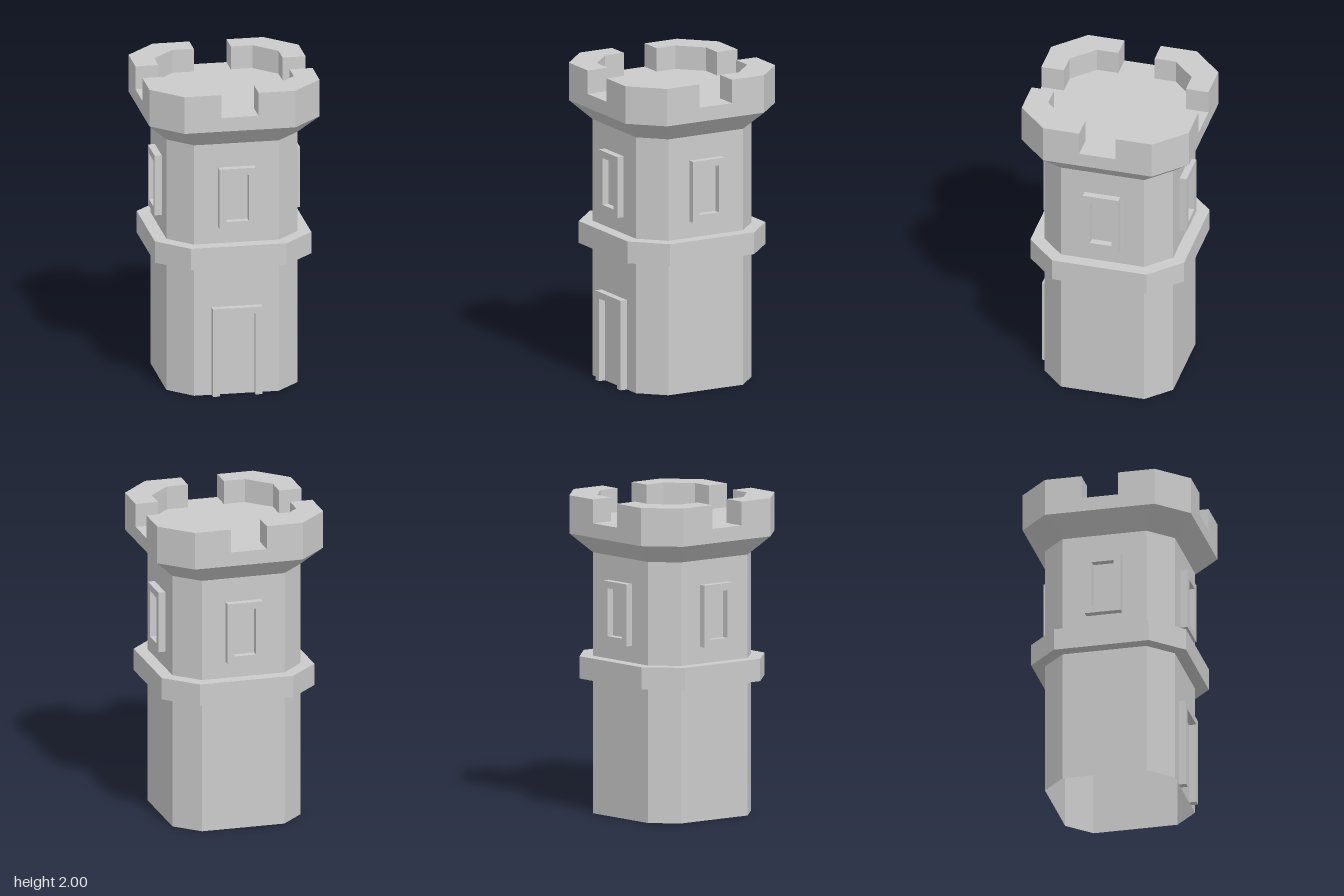
import * as THREE from 'three';

const material = new THREE.MeshStandardMaterial({ color: 0xcccccc, flatShading: true, side: THREE.DoubleSide });

// Chamfered square: half = half width, c = where the flat side ends
const octagon = (half, c) => [
  [half, -c], [half, c], [c, half], [-c, half],
  [-half, c], [-half, -c], [-c, -half], [c, -half],
].map(([x, y]) => new THREE.Vector2(x, y));

const rectangle = (w, y0, y1) => [[-w, y0], [w, y0], [w, y1], [-w, y1]].map(([x, y]) => new THREE.Vector2(x, y));

function extrude(name, points, depth, hole) {
  const shape = new THREE.Shape(points);
  if (hole) shape.holes.push(new THREE.Path(hole));
  const mesh = new THREE.Mesh(new THREE.ExtrudeGeometry(shape, { depth, bevelEnabled: false }), material);
  mesh.name = name;
  return mesh;
}

// Same as extrude, but standing upright from height y
function slab(name, points, y, height, hole) {
  const mesh = extrude(name, points, height, hole);
  mesh.geometry.rotateX(-Math.PI / 2);
  mesh.position.y = y;
  return mesh;
}

// Walls joining octagonal rings [y, half, c] from bottom to top
function loft(name, rings) {
  const positions = [];
  const corner = (r, i) => {
    const [y, half, c] = rings[r];
    const p = octagon(half, c)[i % 8];
    return [p.x, y, -p.y];
  };
  for (let r = 0; r < rings.length - 1; r++) {
    for (let i = 0; i < 8; i++) {
      const a = corner(r, i), b = corner(r, i + 1), c = corner(r + 1, i + 1), d = corner(r + 1, i);
      positions.push(...a, ...b, ...c, ...a, ...c, ...d);
    }
  }
  const geometry = new THREE.BufferGeometry();
  geometry.setAttribute('position', new THREE.Float32BufferAttribute(positions, 3));
  geometry.computeVertexNormals();
  const mesh = new THREE.Mesh(geometry, material);
  mesh.name = name;
  return mesh;
}

export function createModel() {
  const tower = new THREE.Group();
  tower.name = 'tower';
  const wall = 0.415, wallCorner = 0.268;
  const top = 0.538, topCorner = 0.35;
  const deckY = 1.85;

  // Hollow shaft, open below, flaring out under the parapet
  tower.add(loft('shaft', [[0, wall, wallCorner], [1.64, wall, wallCorner]]));
  tower.add(loft('flaredParapet', [[1.64, wall, wallCorner], [1.76, top, topCorner], [deckY, top, topCorner]]));

  // Roof deck
  const deck = new THREE.Mesh(new THREE.ShapeGeometry(new THREE.Shape(octagon(top, topCorner))), material);
  deck.name = 'roofDeck';
  deck.rotation.x = -Math.PI / 2;
  deck.position.y = deckY;
  tower.add(deck);

  // Band around the middle
  tower.add(slab('band', octagon(0.495, 0.303), 0.85, 0.14, octagon(wall, wallCorner)));

  // Corner battlements and one window frame per side
  const notch = 0.117, inner = 0.393, innerCorner = 0.253;
  const merlon = [
    [notch, top], [notch, inner], [innerCorner, inner], [inner, innerCorner],
    [inner, notch], [top, notch], [top, topCorner], [topCorner, top],
  ].map(([x, y]) => new THREE.Vector2(x, y));
  for (let i = 0; i < 4; i++) {
    const side = new THREE.Group();
    side.name = `side${i + 1}`;
    side.rotation.y = i * Math.PI / 2;
    const frame = extrude('windowFrame', rectangle(0.115, 1.095, 1.485), 0.045, rectangle(0.07, 1.14, 1.44));
    frame.position.z = wall;
    side.add(slab('battlement', merlon, deckY, 2 - deckY), frame);
    tower.add(side);
  }

  // Door frame on the front
  const doorway = [
    [-0.157, 0], [-0.113, 0], [-0.113, 0.53], [0.113, 0.53],
    [0.113, 0], [0.157, 0], [0.157, 0.573], [-0.157, 0.573],
  ].map(([x, y]) => new THREE.Vector2(x, y));
  const door = extrude('doorFrame', doorway, 0.045);
  door.position.z = wall;
  tower.add(door);

  return tower;
}
